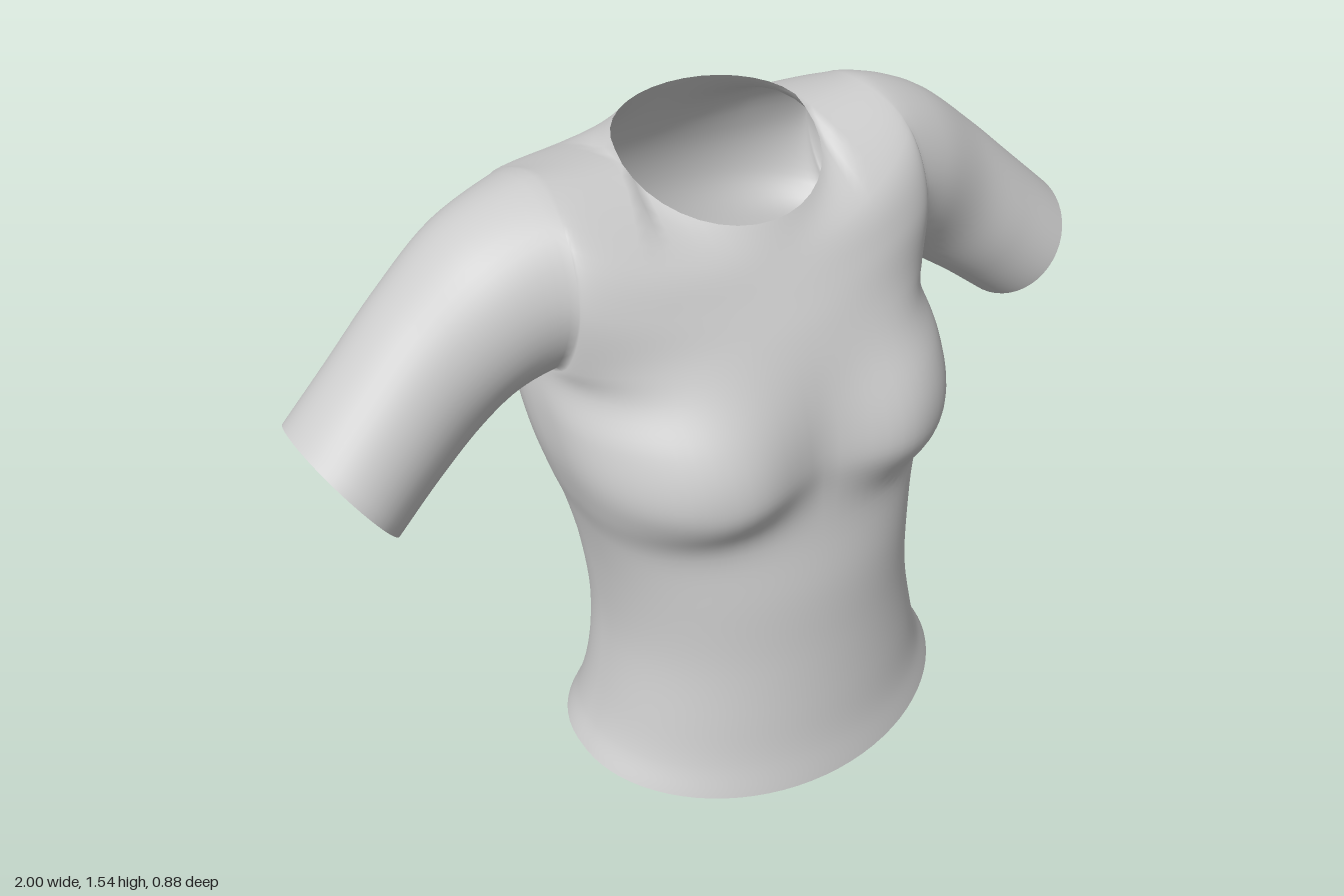
import * as THREE from 'three';
import { mergeVertices } from 'three/addons/utils/BufferGeometryUtils.js';

const V = (x, y, z) => new THREE.Vector3(x, y, z);
const lerp = THREE.MathUtils.lerp;
const COLS = 40, SUB = 6, NECK = 0.45, SHIFT = 0.01;

// Torso sections: height, half width, front z, back z, side z, front roundness
const SECTIONS = [
  [0.00, 0.495, 0.44, -0.285, 0.07, 1.0],
  [0.10, 0.46, 0.42, -0.26, 0.06, 0.97],
  [0.22, 0.425, 0.405, -0.245, 0.06, 0.93],
  [0.38, 0.40, 0.387, -0.262, 0.05, 0.9],
  [0.55, 0.405, 0.37, -0.295, 0.03, 0.83],
  [0.70, 0.43, 0.343, -0.33, 0.01, 0.74],
  [0.80, 0.46, 0.33, -0.355, 0.0, 0.67],
  [0.90, 0.482, 0.325, -0.385, -0.02, 0.63],
  [1.00, 0.487, 0.31, -0.41, -0.07, 0.65],
];
// Centre line above the armpits: height, depth and roundness, front then back
const CENTRE = {
  1: [[1.09, 0.285, 0.72], [1.17, 0.25, 1.0], [1.245, 0.205, 1.3], [1.315, 0.16, 1.5]],
  [-1]: [[1.09, -0.43, 0.85], [1.21, -0.437, 0.95], [1.32, -0.415, 1.1], [1.43, -0.36, 1.4]],
};

// Armhole edge from armpit (t = 0) to shoulder (t = 1)
function armhole(t, side) {
  const a = Math.PI * t, depth = side > 0 ? 0.215 : -0.235;
  return V(0.48 - 0.06 * t, 1.295 - 0.21 * Math.cos(a), -0.12 + depth * Math.sin(a));
}

// One torso section at column u (-1 right to 1 left); side is 1 front, -1 back
function arc(u, end, y, z, e) {
  const s = Math.sin(u * Math.PI / 2), c = Math.max(0, Math.cos(u * Math.PI / 2));
  return V(SHIFT + end.x * s, lerp(y, end.y, s * s), lerp(end.z, z, c ** e));
}

// Neckline in the middle, shoulder seam at both ends
function topEdge(u, side) {
  const a = Math.abs(u), sgn = Math.sign(u);
  if (a < NECK) {
    const f = (u / NECK) * Math.PI / 2, c = Math.cos(f);
    return V(0.016 + 0.235 * Math.sin(f), 1.49 + (side > 0 ? -0.11 * c : 0.047 * Math.sqrt(c)),
      -0.09 + (side > 0 ? 0.21 : -0.195) * c);
  }
  const end = armhole(1, side);
  end.x = SHIFT + end.x * sgn;
  return V(0.016 + 0.235 * sgn, 1.49, -0.09).lerp(end, (a - NECK) / (1 - NECK));
}

function upperArc(u, side, k) {
  const [y, z, e] = CENTRE[side][k];
  return arc(u, armhole(k / 4, side), y, z, e);
}

// Smooth column of points from hem to neck or shoulder
function column(u, side) {
  const keys = SECTIONS.map(([y, w, zf, zb, zs, e], i) => {
    const hem = i === 0 ? 0.035 : 0;
    return arc(u, V(w, y + hem, zs), side > 0 ? y : y + hem * 0.85, side > 0 ? zf : zb, side > 0 ? e : 0.8);
  });
  for (let k = 0; k < 4; k++) keys.push(upperArc(u, side, k));
  const top = topEdge(u, side);
  keys.push(top);
  // guide point that rounds the cloth over the shoulder
  keys.push(Math.abs(u) < NECK - 0.001
    ? top.clone().multiplyScalar(2).sub(keys[keys.length - 2]) : upperArc(u, -side, 3));
  const curve = new THREE.CatmullRomCurve3(keys), segs = keys.length - 1, pts = [];
  for (let i = 0; i <= (segs - 1) * SUB; i++) pts.push(curve.getPoint(i / (segs * SUB)));
  if (side > 0) for (const p of pts) { // bust
    const dx = (Math.abs(p.x - SHIFT) - 0.285) / 0.2, dy = (p.y - 0.875) / (p.y < 0.875 ? 0.115 : 0.21);
    p.z += 0.083 * Math.exp(-((dx * dx + dy * dy) ** 1.3)) * Math.sqrt(Math.max(0, Math.cos(u * Math.PI / 2)));
  }
  return pts;
}

// Adds a grid of points as triangles
function addGrid(out, grid, flip) {
  const base = out.pos.length / 3, n = grid[0].length;
  for (const line of grid) for (const p of line) out.pos.push(p.x, p.y, p.z);
  for (let i = 0; i < grid.length - 1; i++) for (let j = 0; j < n - 1; j++) {
    const a = base + i * n + j, b = a + n, c = b + 1, d = a + 1;
    out.idx.push(...(flip ? [a, c, b, a, d, c] : [a, b, c, a, c, d]));
  }
}

function toMesh(out, name) {
  let g = new THREE.BufferGeometry();
  g.setAttribute('position', new THREE.Float32BufferAttribute(out.pos, 3));
  g.setIndex(out.idx);
  g = mergeVertices(g, 1e-4);
  g.computeVertexNormals();
  const mesh = new THREE.Mesh(g, new THREE.MeshStandardMaterial({ color: 0xcccccc, side: THREE.DoubleSide }));
  mesh.name = name;
  return mesh;
}

// Sleeve ring: centre, half height vector, half depth, at angle a from the underside
const ring = (cx, cy, cz, hx, hy, hz) => (a) =>
  V(cx - hx * Math.cos(a), cy - hy * Math.cos(a), cz + hz * Math.sin(a));
const RINGS = [
  ring(0.565, 1.247, -0.13, 0.03, 0.197, 0.195),
  ring(0.68, 1.158, -0.13, 0.075, 0.162, 0.174),
  ring(0.80, 1.06, -0.115, 0.083, 0.144, 0.17),
  ring(0.915, 0.962, -0.1, 0.085, 0.135, 0.175),
];
const LIP = [ring(0.915, 0.962, -0.1, 0.081, 0.129, 0.168), ring(0.872, 0.99, -0.1, 0.079, 0.126, 0.163)];

export function createModel() {
  const group = new THREE.Group();
  group.name = 'shirt';
  const cloth = { pos: [], idx: [] };

  // front and back panels, joined along the sides
  const panel = (side) => Array.from({ length: COLS + 1 }, (_, i) => column(2 * i / COLS - 1, side));
  const front = panel(1), back = panel(-1);
  const armpit = SECTIONS.length * SUB;
  for (const c of [0, COLS]) for (let r = 0; r <= armpit; r++) {
    front[c][r].lerp(back[c][r], 0.5);
    back[c][r].copy(front[c][r]);
  }
  addGrid(cloth, front, false);
  addGrid(cloth, back, true);

  // sleeves grow out of the armhole edges
  const steps = 4 * SUB;
  for (const m of [1, -1]) {
    const edge = m > 0 ? COLS : 0, near = edge - 5 * m;
    const sleeve = [], lip = [];
    for (let i = 0; i <= 2 * steps; i++) {
      const pane = i <= steps ? front : back;
      const r = armpit + (i <= steps ? i : 2 * steps - i);
      const a = Math.PI * i / steps;
      const mirror = (p) => { p.x *= m; return p; };
      const start = pane[edge][r].clone();
      const rings = RINGS.map((f) => mirror(f(a)));
      // guide point that carries the torso's slope into the sleeve
      const guide = start.clone().multiplyScalar(2).sub(rings[0])
        .lerp(pane[near][r], Math.min(1, 1 - Math.cos(a)));
      const curve = new THREE.CatmullRomCurve3([guide, start, ...rings]);
      const line = [start];
      for (let k = 1; k <= 24; k++) line.push(curve.getPoint((1 + k / 6) / 5));
      sleeve.push(line);
      lip.push([rings[3], ...LIP.map((f) => mirror(f(a)))]);
    }
    addGrid(cloth, sleeve, m > 0);
    // folded inner edge of the cuff
    const cuff = { pos: [], idx: [] };
    addGrid(cuff, lip, m > 0);
    group.add(toMesh(cuff, m > 0 ? 'leftCuffFold' : 'rightCuffFold'));
  }
  group.add(toMesh(cloth, 'shirtBody'));
  return group;
}
